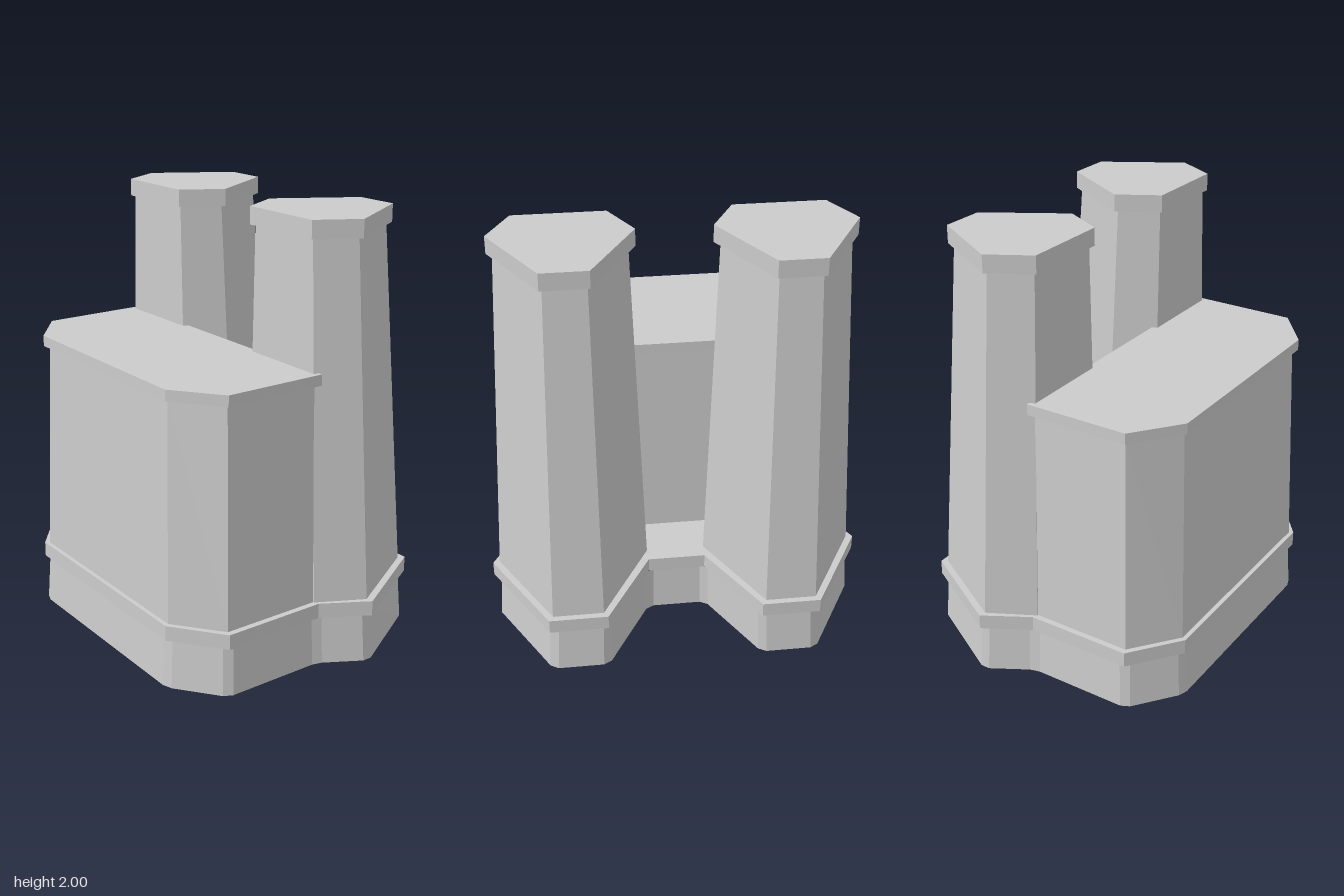
import * as THREE from 'three';

const grey = new THREE.MeshStandardMaterial({ color: 0xcccccc, flatShading: true });
const thinGrey = new THREE.MeshStandardMaterial({ color: 0xcccccc, flatShading: true, side: THREE.DoubleSide });

// Orders a ground-plan outline the same way round, as Vector2(x, z)
function orient(points) {
  const ring = points.map(([x, z]) => new THREE.Vector2(x, z));
  return THREE.ShapeUtils.isClockWise(ring) ? ring.reverse() : ring;
}

// Solid (or open skirt) between a lower and an upper outline with matching corners
function loft(name, lower, y0, upper, y1, open = false) {
  const a = orient(lower), b = orient(upper), n = a.length, pos = [];
  const put = (p, y) => pos.push(p.x, y, p.y);
  for (let i = 0; i < n; i++) {
    const j = (i + 1) % n;
    put(a[i], y0); put(b[i], y1); put(b[j], y1);
    put(a[i], y0); put(b[j], y1); put(a[j], y0);
  }
  const caps = open ? [] : THREE.ShapeUtils.triangulateShape(a, []);
  for (const [i, j, k] of caps) {
    put(a[i], y0); put(a[j], y0); put(a[k], y0);
    put(b[k], y1); put(b[j], y1); put(b[i], y1);
  }
  const geo = new THREE.BufferGeometry();
  geo.setAttribute('position', new THREE.Float32BufferAttribute(pos, 3));
  geo.computeVertexNormals();
  const mesh = new THREE.Mesh(geo, open ? thinGrey : grey);
  mesh.name = name;
  return mesh;
}

// Full outline from its +x half
const mirror = (half) => [...half, ...half.map(([x, z]) => [-x, z]).reverse()];

// Cuts every corner of an outline with a small flat
function bevel(points, cut) {
  const ring = orient(points), n = ring.length;
  return ring.flatMap((p, i) => [ring[(i + n - 1) % n], ring[(i + 1) % n]].map((q) => {
    const c = q.clone().sub(p).setLength(cut).add(p);
    return [c.x, c.y];
  }));
}

// Six-sided tower plan: inner/outer x and z of the back, side and front corners
const hexagon = ([bi, bo], zb, [si, so], zs, [fi, fo], zf) =>
  [[bi, zb], [bo, zb], [so, zs], [fo, zf], [fi, zf], [si, zs]];

// Chamfered block plan
const block = (x, back, zc, xc, front) => mirror([[x, back], [x, zc], [xc, front]]);

export function createModel() {
  const model = new THREE.Group();

  // Trim band, which also closes the top of the hollow plinth
  const band = mirror([[0.135, -0.28], [0.357, -0.656], [0.627, -0.656], [0.878, -0.22],
    [0.757, -0.01], [0.757, 0.48], [0.53, 0.654]]);
  model.add(loft('plinthBand', band, 0.23, band, 0.3));

  // Hollow plinth skirt, open underneath, with bevelled corners
  const foot = mirror([[0.14, -0.278], [0.36, -0.654], [0.622, -0.654], [0.87, -0.22],
    [0.75, -0.012], [0.75, 0.48], [0.527, 0.653]]);
  const head = foot.map(([x, z]) => [x * 0.982, z * 0.978]);
  model.add(loft('plinth', bevel(foot, 0.025), 0, bevel(head, 0.025), 0.23, true));

  // Main hall and its roof slab
  model.add(loft('hall', block(0.73, -0.012, 0.47, 0.52, 0.634), 0.3,
    block(0.697, -0.006, 0.45, 0.49, 0.603), 1.3));
  const roof = block(0.72, -0.025, 0.462, 0.507, 0.625);
  model.add(loft('roofSlab', roof, 1.3, roof, 1.35));

  // Twin tapered towers with caps
  const towerFoot = hexagon([0.376, 0.609], -0.628, [0.137, 0.847], -0.212, [0.25, 0.735], 0);
  const towerHead = hexagon([0.385, 0.568], -0.5, [0.195, 0.762], -0.17, [0.285, 0.67], 0);
  const cap = hexagon([0.375, 0.58], -0.523, [0.165, 0.788], -0.17, [0.27, 0.682], 0.018);
  for (const [side, s] of [['left', 1], ['right', -1]]) {
    const flip = (plan) => plan.map(([x, z]) => [x * s, z]);
    const tower = new THREE.Group();
    tower.name = side + 'Tower';
    tower.add(loft('shaft', flip(towerFoot), 0.3, flip(towerHead), 1.92));
    tower.add(loft('cap', flip(cap), 1.92, flip(cap), 2));
    model.add(tower);
  }
  return model;
}
